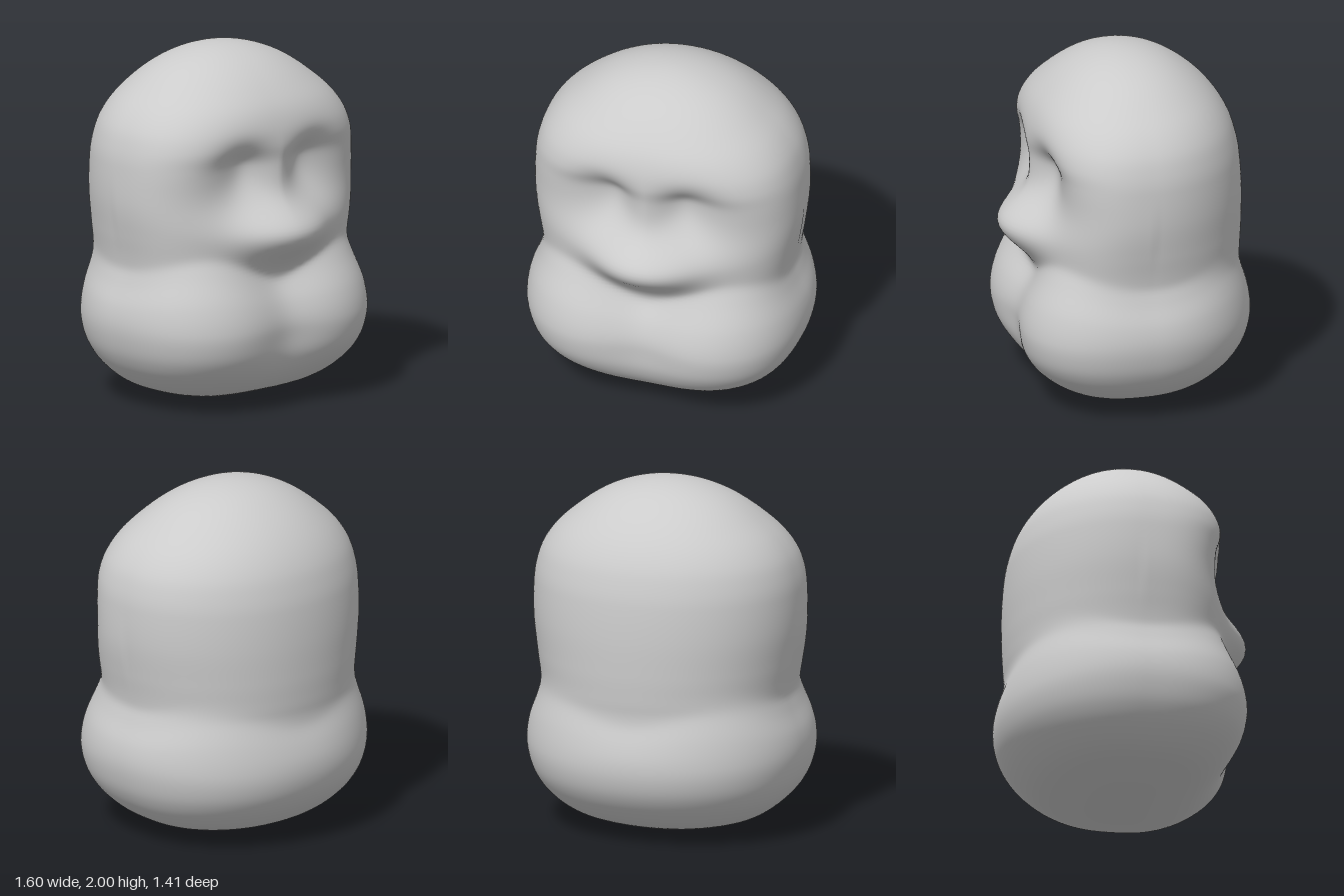
import * as THREE from 'three';

// Height profiles: [y, half width, front depth, back depth]
const HEAD = [
  [0, 0, 0, 0], [0.4, 0.4, 0.3, 0.4], [0.6, 0.64, 0.44, 0.6], [0.8, 0.7, 0.5, 0.645],
  [0.9, 0.722, 0.515, 0.655], [1, 0.74, 0.515, 0.66], [1.2, 0.765, 0.505, 0.66],
  [1.4, 0.765, 0.525, 0.645], [1.5, 0.75, 0.543, 0.625], [1.6, 0.715, 0.535, 0.592],
  [1.7, 0.645, 0.497, 0.535], [1.8, 0.535, 0.42, 0.45], [1.9, 0.39, 0.305, 0.325],
  [1.96, 0.25, 0.195, 0.21], [2, 0, 0, 0],
];
const BODY = [
  [0, 0, 0, 0], [0.05, 0.4, 0.31, 0.33], [0.1, 0.55, 0.44, 0.46], [0.2, 0.68, 0.58, 0.59],
  [0.3, 0.75, 0.66, 0.665], [0.4, 0.785, 0.695, 0.7], [0.5, 0.797, 0.7, 0.705],
  [0.6, 0.782, 0.67, 0.683], [0.7, 0.742, 0.61, 0.64], [0.8, 0.695, 0.535, 0.58],
  [0.9, 0.61, 0.42, 0.47], [1.05, 0.3, 0.2, 0.2], [1.2, 0, 0, 0], [2, 0, 0, 0],
];

const polar = (y) => Math.acos(THREE.MathUtils.clamp(1 - y, -1, 1));
const bell = (v, s) => Math.exp(-0.5 * (v / s) ** 2);

// Smooth interpolation of a profile, measured along the polar angle so the ends stay round
function sample(rows, y, col) {
  const t = polar(y);
  const T = (i) => polar(rows[i][0]);
  const slope = (i) => {
    const a = Math.max(i - 1, 0), b = Math.min(i + 1, rows.length - 1);
    return (rows[b][col] - rows[a][col]) / (T(b) - T(a));
  };
  let i = 0;
  while (i < rows.length - 2 && t > T(i + 1)) i++;
  const h = T(i + 1) - T(i), u = (t - T(i)) / h, u2 = u * u, u3 = u2 * u;
  const v = (2 * u3 - 3 * u2 + 1) * rows[i][col] + (u3 - 2 * u2 + u) * h * slope(i)
    + (3 * u2 - 2 * u3) * rows[i + 1][col] + (u3 - u2) * h * slope(i + 1);
  return Math.max(v, 1e-4);
}

// Radius of a rounded section with its own front and back depth
function section(rows, y, a, nFront, nBack) {
  const c = Math.abs(Math.cos(a)), s = Math.sin(a);
  const n = s > 0 ? nFront : nBack;
  const w = sample(rows, y, 1), d = sample(rows, y, s > 0 ? 2 : 3);
  return ((c / w) ** n + (Math.abs(s) / d) ** n) ** (-1 / n);
}

function headRadius(y, a) {
  // the boxy face turns into a round crown
  const crown = THREE.MathUtils.smoothstep(y, 1.3, 2);
  let r = section(HEAD, y, a, 2.85 - 0.75 * crown, 2.05);
  if (Math.sin(a) > 0) {
    const x = Math.abs(r * Math.cos(a));
    // muzzle with a wide upper lip that climbs towards the cheeks
    const lip = y - 1 - 0.2 * x * x;
    r += 0.14 * bell(x, 0.18) * bell(y - 1.01, y > 1.01 ? 0.115 : 0.12);
    r += 0.05 * bell(x, 0.36) * bell(lip, lip > 0 ? 0.12 : 0.1);
    // nose bridge
    r += 0.02 * bell(x, 0.07) * bell(y - 1.3, 0.12);
    // eye sockets under brows that fall outwards
    const eyeY = 1.39 - 0.6 * (x - 0.25) ** 2;
    r -= 0.095 * bell(x - 0.27, 0.125) * bell(y - eyeY, y > eyeY ? 0.085 : 0.15);
  }
  return r;
}

function bodyRadius(y, a) {
  // the rim rises over the four diagonals
  const lift = 1 + 0.33 * Math.sin(2 * a) ** 2;
  const yy = y > 0.5 ? 0.5 + (y - 0.5) / lift : y;
  let r = section(BODY, yy, a, 2.7, 2.12);
  // shallow hollow down the middle of the chest
  if (Math.sin(a) > 0) {
    r -= 0.09 * bell(r * Math.cos(a), 0.21) * THREE.MathUtils.smoothstep(y, 0, 0.45);
  }
  return r;
}

function createSkin(around, rows) {
  const pos = [], index = [];
  for (let j = 0; j <= rows; j++) {
    const t = (j / rows) * Math.PI, y = 1 - Math.cos(t);
    const blend = 0.035 * Math.sin(t);
    for (let i = 0; i < around; i++) {
      const a = (i / around) * Math.PI * 2;
      const h = headRadius(y, a), b = bodyRadius(y, a);
      // soft union of head and body
      const r = j % rows === 0 ? 0 : (h + b + Math.hypot(h - b, blend)) / 2;
      pos.push(r * Math.cos(a), y, r * Math.sin(a));
      if (j < rows) {
        const p = j * around + i, q = j * around + ((i + 1) % around);
        if (j < rows - 1) index.push(q, p + around, q + around);
        if (j > 0) index.push(p, p + around, q);
      }
    }
  }
  const g = new THREE.BufferGeometry();
  g.setAttribute('position', new THREE.Float32BufferAttribute(pos, 3));
  g.setIndex(index);
  g.computeVertexNormals();
  return g;
}

export function createModel() {
  const group = new THREE.Group();
  group.name = 'figure';
  const skin = new THREE.Mesh(
    createSkin(180, 150),
    new THREE.MeshStandardMaterial({ color: 0xcccccc }),
  );
  skin.name = 'headAndBody';
  group.add(skin);
  return group;
}
